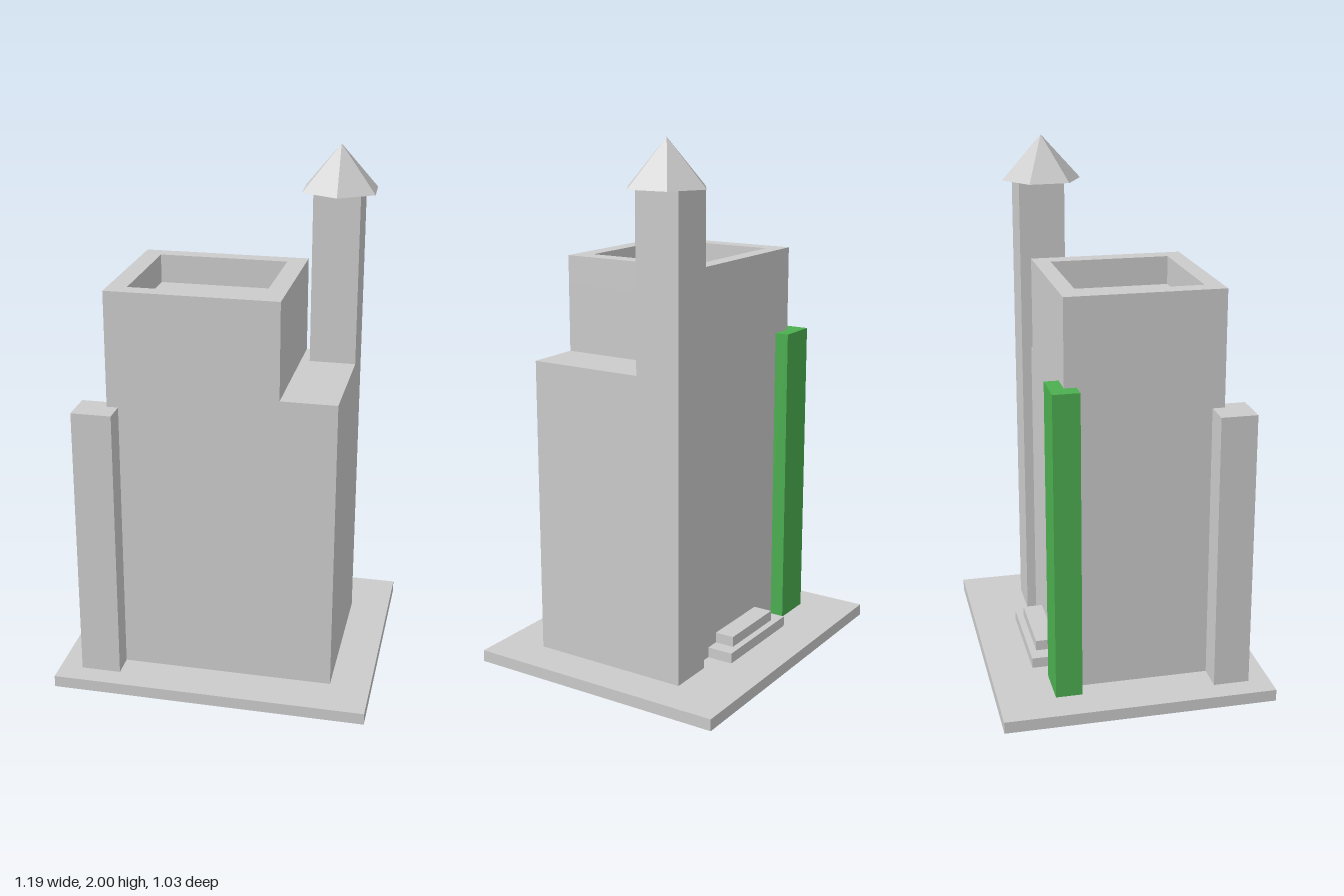
import * as THREE from 'three';

const stone = new THREE.MeshStandardMaterial({ color: 0xcccccc, flatShading: true });
const green = new THREE.MeshStandardMaterial({ color: 0x4caf50, flatShading: true });

export function createModel() {
  const group = new THREE.Group();

  const add = (name, geometry, material = stone) => {
    const mesh = new THREE.Mesh(geometry, material);
    mesh.name = name;
    group.add(mesh);
    return mesh;
  };

  // Box given by its limits on each axis
  const block = (name, [x0, x1], [y0, y1], [z0, z1], material) =>
    add(name, new THREE.BoxGeometry(x1 - x0, y1 - y0, z1 - z0), material)
      .position.set((x0 + x1) / 2, (y0 + y1) / 2, (z0 + z1) / 2);

  const ground = 0.045, shoulder = 1.18, roofFloor = 1.435, roofTop = 1.545;

  block('basePlate', [-0.597, 0.597], [0, ground], [-0.513, 0.513]);

  // Main body with a terrace on its left side
  block('lowerKeep', [-0.403, 0.445], [ground, shoulder], [-0.246, 0.342]);
  block('upperKeep', [-0.403, 0.236], [shoulder, roofFloor], [-0.246, 0.342]);

  // Parapet around the sunken roof, drawn in plan (shape y is -z)
  const rectangle = (Path, x0, x1, z0, z1) => new Path([
    new THREE.Vector2(x0, -z0), new THREE.Vector2(x0, -z1),
    new THREE.Vector2(x1, -z1), new THREE.Vector2(x1, -z0),
  ]);
  const rim = rectangle(THREE.Shape, -0.403, 0.236, -0.246, 0.342);
  rim.holes.push(rectangle(THREE.Path, -0.332, 0.164, -0.183, 0.277));
  const parapet = new THREE.ExtrudeGeometry(rim, { depth: roofTop - roofFloor, bevelEnabled: false });
  parapet.rotateX(-Math.PI / 2);
  add('parapet', parapet).position.y = roofFloor;

  // Tall corner tower with a six-sided roof
  block('tallTower', [0.27, 0.445], [ground, 1.83], [-0.282, -0.107]);
  const roof = add('towerRoof', new THREE.ConeGeometry(0.155, 0.17, 6));
  roof.position.set(0.359, 1.915, -0.18);
  roof.rotation.y = 0.06;

  // Front corner pier and green strip at the back
  block('cornerPier', [-0.511, -0.36], [ground, 1.107], [0.296, 0.432]);
  block('greenPillar', [-0.468, -0.308], [ground, 1.22], [-0.3, -0.2], green);

  // Entrance steps at the back
  block('lowerStep', [-0.233, 0.18], [ground, 0.085], [-0.348, -0.22]);
  block('upperStep', [-0.172, 0.125], [0.085, 0.125], [-0.322, -0.22]);

  return group;
}
